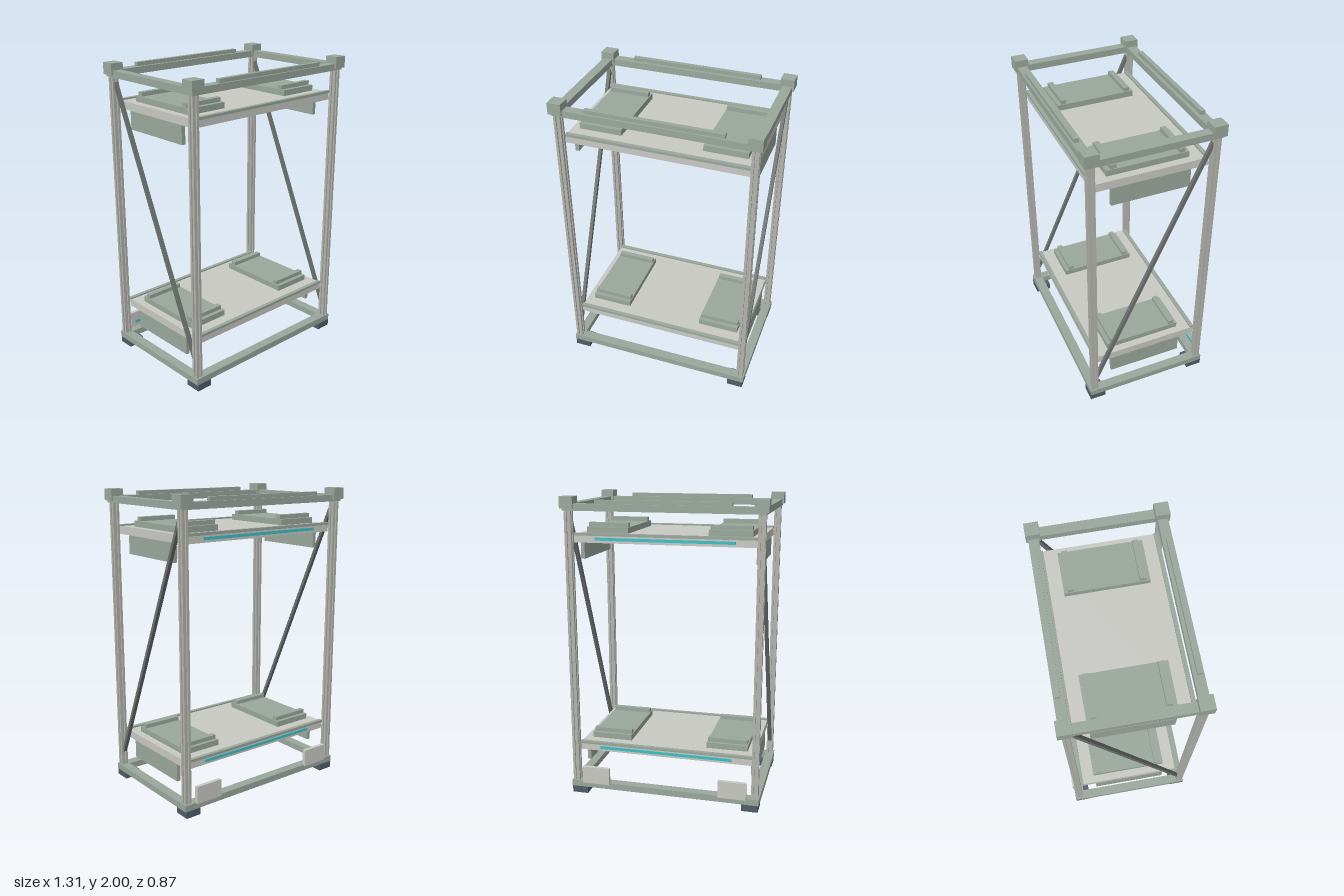
import * as THREE from 'three';

const mat = (name, color) => {
  const m = new THREE.MeshStandardMaterial({ color });
  m.name = name;
  return m;
};

export function createModel() {
  const green = mat('sage green', 0x9aa79c);
  const light = mat('light grey', 0xc9c9c4);
  const metal = mat('post grey', 0xb4b4ae);
  const dark = mat('brace grey', 0x6c716e);
  const slate = mat('foot slate', 0x4f5d68);
  const cyan = mat('cyan', 0x3cc0c6);

  const model = new THREE.Group();
  model.name = 'shelfRack';

  // box given by its limits on each axis
  const box = (name, m, x0, x1, y0, y1, z0, z1, parent = model) => {
    const mesh = new THREE.Mesh(new THREE.BoxGeometry(x1 - x0, y1 - y0, z1 - z0), m);
    mesh.position.set((x0 + x1) / 2, (y0 + y1) / 2, (z0 + z1) / 2);
    mesh.name = name;
    parent.add(mesh);
    return mesh;
  };

  // slotted post section: one side turned four times
  const h = 0.0225, s = 0.006, d = 0.01;
  const side = [[-h, -h], [-s, -h], [-s, -h + d], [s, -h + d], [s, -h]];
  const outline = [];
  for (let i = 0; i < 4; i++) {
    for (const [x, y] of side) {
      outline.push(new THREE.Vector2(x, y).rotateAround(new THREE.Vector2(), i * Math.PI / 2));
    }
  }
  const postGeo = new THREE.ExtrudeGeometry(new THREE.Shape(outline), { depth: 1.85, bevelEnabled: false });
  postGeo.rotateX(-Math.PI / 2);

  // corners: post, top block, foot
  for (const sx of [-1, 1]) {
    for (const sz of [-1, 1]) {
      const post = new THREE.Mesh(postGeo, metal);
      post.name = 'post';
      post.position.set(sx * 0.613, 0.08, sz * 0.389);
      model.add(post);
      const cx = sx * 0.612, cz = sz * 0.39;
      box('cornerBlock', green, cx - 0.044, cx + 0.044, 1.925, 2, cz - 0.044, cz + 0.044);
      const fx = sx * 0.584, fz = sz * 0.37;
      box('foot', slate, fx - 0.054, fx + 0.054, 0, 0.045, fz - 0.054, fz + 0.054);
    }
  }

  // top and bottom frames
  for (const [name, y0, y1] of [['topRail', 1.912, 1.955], ['bottomRail', 0.045, 0.087]]) {
    for (const sgn of [-1, 1]) {
      const z = sgn * 0.389, x = sgn * 0.613;
      box(name, green, -0.643, 0.643, y0, y1, z - 0.032, z + 0.032);
      box(name + 'Side', green, x - 0.031, x + 0.031, y0, y1, -0.357, 0.357);
    }
  }
  for (const sgn of [-1, 1]) {
    const z = sgn * 0.394;
    box('topBar', green, -0.433, 0.433, 1.955, 1.98, z - 0.015, z + 0.015);
  }

  // shelves with pads, side skirts and a light strip at the back
  for (const y of [0.297, 1.709]) {
    const shelf = new THREE.Group();
    shelf.name = 'shelf';
    shelf.position.y = y;
    model.add(shelf);
    box('shelfBoard', light, -0.59, 0.59, 0, 0.052, -0.365, 0.365, shelf);
    for (const sgn of [-1, 1]) {
      const z = sgn * 0.359;
      box('shelfLip', green, -0.59, 0.59, 0.045, 0.062, z - 0.013, z + 0.013, shelf);
      const px = sgn * 0.401;
      box('pad', green, px - 0.139, px + 0.139, 0.052, 0.09, -0.262, 0.262, shelf);
      for (const bz of [-0.22, 0.216]) {
        box('padBar', green, px - 0.133, px + 0.133, 0.09, 0.117, bz - 0.018, bz + 0.018, shelf);
      }
      const kx = sgn * 0.577;
      box('sideSkirt', green, kx - 0.013, kx + 0.013, -0.12, 0, -0.253, 0.253, shelf);
    }
    box('lightStrip', cyan, -0.45, 0.45, 0.016, 0.034, -0.371, -0.364, shelf);
  }

  // diagonal braces on both sides, low at the front and high at the back
  const a = new THREE.Vector3(0, 0.19, 0.37), b = new THREE.Vector3(0, 1.875, -0.37);
  const dir = b.clone().sub(a);
  for (const sx of [-1, 1]) {
    const brace = new THREE.Mesh(new THREE.BoxGeometry(0.024, dir.length(), 0.022), dark);
    brace.name = 'brace';
    brace.position.copy(a).add(b).multiplyScalar(0.5);
    brace.position.x = sx * 0.612;
    brace.rotation.x = Math.atan2(dir.z, dir.y);
    model.add(brace);
  }

  // small back plates with an inward facing indicator
  for (const sx of [-1, 1]) {
    const x = sx * 0.466;
    box('backPlate', light, x - 0.094, x + 0.094, 0.08, 0.197, -0.433, -0.408);
    box('indicator', cyan, x - 0.06, x + 0.06, 0.115, 0.134, -0.409, -0.402);
  }
  return model;
}
